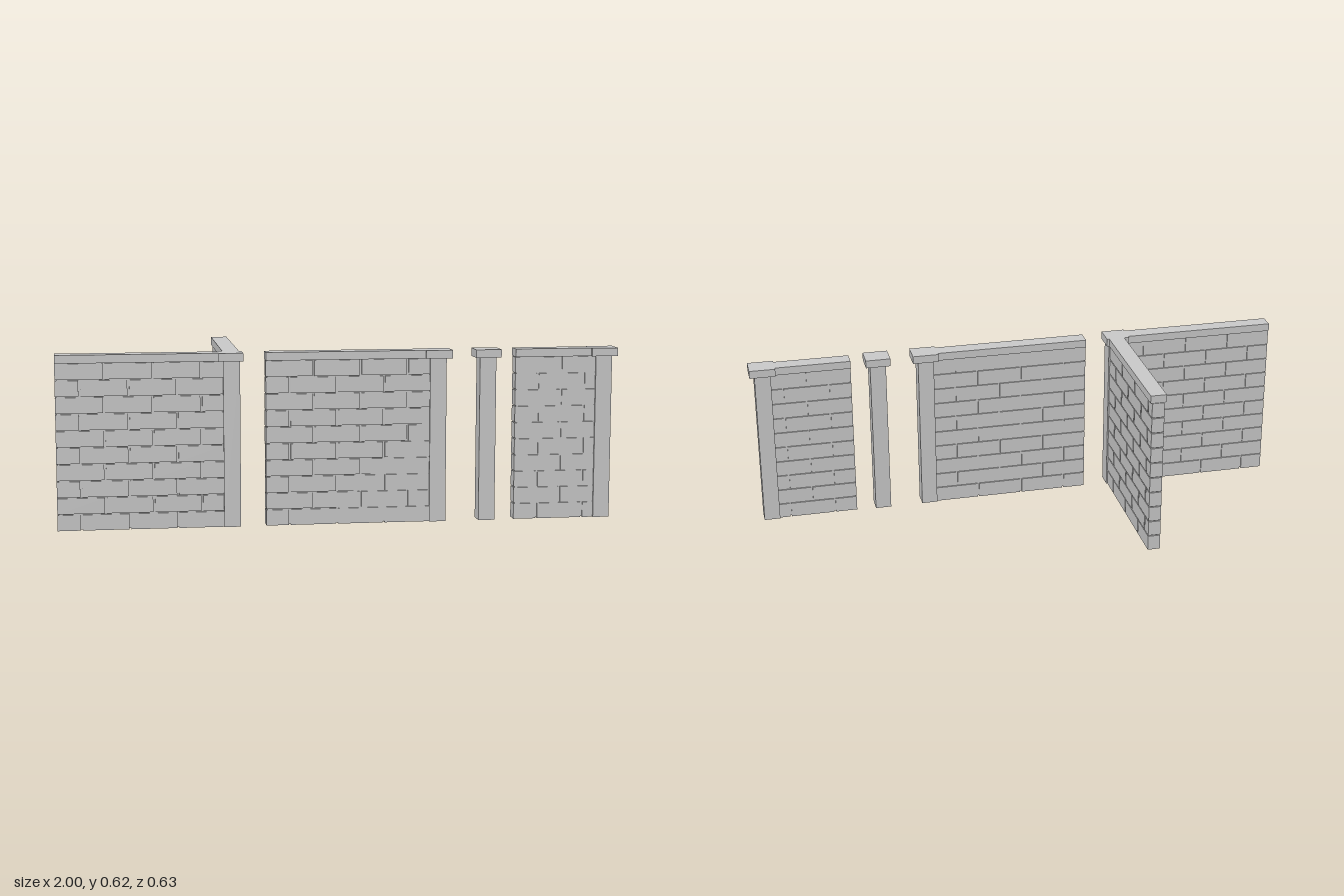
import * as THREE from 'three';

const material = new THREE.MeshStandardMaterial({ color: 0xcccccc, flatShading: true });
const ROWS = 10, ROW = 0.059, BRICK_H = 0.0555;
const PITCH = 0.1685, JOINT = 0.007;
const WALL_TOP = 0.588, TOP = 0.617;
const BRICK_T = 0.046, MORTAR_T = 0.036, CAP_T = 0.059;
const PILLAR = 0.059, CENTRE_Z = 0.273;

// Box given by its limits on each axis
function box(parent, name, x0, x1, y0, y1, z0, z1) {
  const mesh = new THREE.Mesh(new THREE.BoxGeometry(x1 - x0, y1 - y0, z1 - z0), material);
  mesh.position.set((x0 + x1) / 2, (y0 + y1) / 2, (z0 + z1) / 2);
  mesh.name = name;
  parent.add(mesh);
}

// Straight brick wall along +x from the origin, in running bond
function makeWall(name, length, capStart, capEnd, mortarStart, mortarEnd) {
  const wall = new THREE.Group();
  wall.name = name;
  box(wall, 'mortar', mortarStart, mortarEnd, 0.003, WALL_TOP, -MORTAR_T / 2, MORTAR_T / 2);
  box(wall, 'wallCap', capStart, capEnd, WALL_TOP, TOP, -CAP_T / 2, CAP_T / 2);
  for (let r = 0; r < ROWS; r++) {
    const y = r * ROW;
    // even rows begin with a half brick
    for (let s = r % 2 ? 0 : -PITCH / 2; s < length; s += PITCH) {
      const a = Math.max(0, s + (s > 0 ? JOINT / 2 : 0));
      const b = Math.min(length, s + PITCH - JOINT / 2);
      if (b - a > 0.004) box(wall, 'brick', a, b, y, y + BRICK_H, -BRICK_T / 2, BRICK_T / 2);
    }
  }
  return wall;
}

// Square pillar with an overhanging cap
function makePillar(name, x, capX0, capX1) {
  const pillar = new THREE.Group();
  pillar.name = name;
  const h = PILLAR / 2;
  box(pillar, 'pillarShaft', x - h, x + h, 0, WALL_TOP, CENTRE_Z - h, CENTRE_Z + h);
  box(pillar, 'pillarCap', capX0, capX1, WALL_TOP, TOP, 0.233, 0.314);
  return pillar;
}

export function createModel() {
  const model = new THREE.Group();
  model.name = 'brickWallSet';

  // Pillars: corner, long wall end, free standing, short wall end
  const pillars = [
    ['cornerPillar', -0.388, -0.434, -0.348],
    ['longWallPillar', 0.347, 0.301, 0.397],
    ['freePillar', 0.527, 0.481, 0.573],
    ['shortWallPillar', 0.952, 0.905, 1.0],
  ];
  for (const p of pillars) model.add(makePillar(...p));

  // Walls facing the front: name, start, pillar face, pillar cap edge
  const walls = [
    ['cornerWall', -1.0, -0.417, -0.434],
    ['longWall', -0.268, 0.318, 0.301],
    ['shortWall', 0.628, 0.923, 0.905],
  ];
  for (const [name, start, end, cap] of walls) {
    const wall = makeWall(name, end - start, 0, cap - start, 0.005, end - start);
    wall.position.set(start, 0, CENTRE_Z);
    model.add(wall);
  }

  // Side wall running back from the corner pillar
  const side = makeWall('sideWall', 0.555, 0.01, 0.555, 0, 0.55);
  side.rotation.y = Math.PI / 2;
  side.position.set(-0.386, 0, 0.243);
  model.add(side);

  return model;
}
